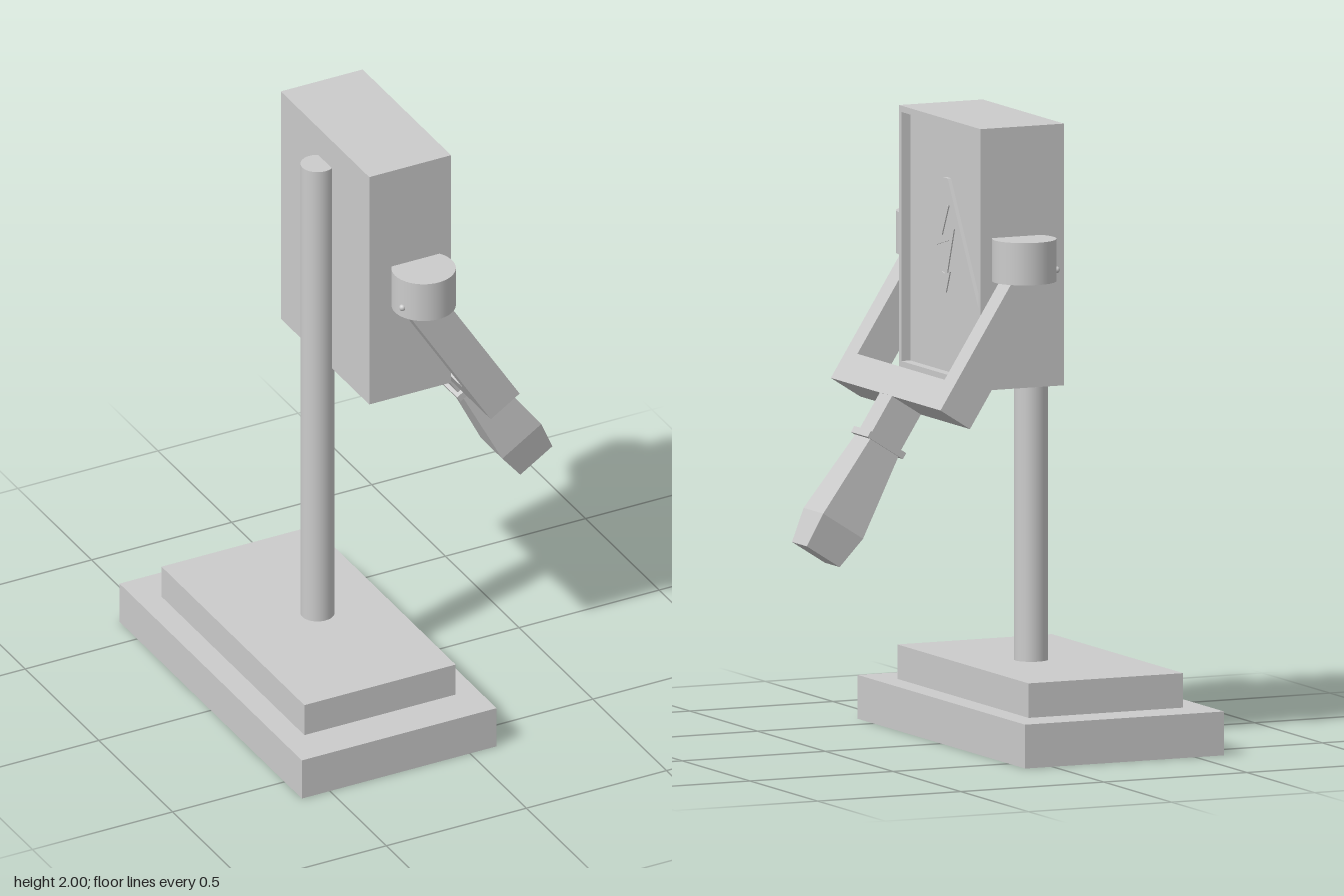
import * as THREE from 'three';

const material = new THREE.MeshStandardMaterial({ color: 0xcccccc, flatShading: true });
const smooth = new THREE.MeshStandardMaterial({ color: 0xcccccc });

function add(parent, name, geometry, x = 0, y = 0, z = 0, mat = material) {
  const mesh = new THREE.Mesh(geometry, mat);
  mesh.name = name;
  mesh.position.set(x, y, z);
  parent.add(mesh);
  return mesh;
}

// Box given by its min and max along each axis
function block(parent, name, [x0, x1], [y0, y1], [z0, z1]) {
  return add(parent, name, new THREE.BoxGeometry(x1 - x0, y1 - y0, z1 - z0),
    (x0 + x1) / 2, (y0 + y1) / 2, (z0 + z1) / 2);
}

const shapeOf = (points) => new THREE.Shape(points.map(([u, v]) => new THREE.Vector2(u, v)));
const rect = (w, y0, y1) => [[-w, y0], [w, y0], [w, y1], [-w, y1]];

// Flat plate facing +x: outline in (-z, y), raised from x by depth
function plate(parent, name, shape, x, depth) {
  const geometry = new THREE.ExtrudeGeometry(shape, { depth, bevelEnabled: false });
  return add(parent, name, geometry.rotateY(Math.PI / 2), x);
}

// Solid lofted through rectangular sections [distance, width, depth] running down -y
function loft(sections) {
  const rings = sections.map(([s, w, d]) =>
    [[-1, 1], [1, 1], [1, -1], [-1, -1]].map(([a, b]) => [a * w / 2, -s, b * d / 2]));
  const positions = [];
  const quad = (a, b, c, d) => [a, b, c, a, c, d].forEach((p) => positions.push(...p));
  for (let i = 0; i < rings.length - 1; i++) {
    for (let k = 0; k < 4; k++) {
      const n = (k + 1) % 4;
      quad(rings[i][k], rings[i + 1][k], rings[i + 1][n], rings[i][n]);
    }
  }
  quad(...rings[0]);
  quad(...rings[rings.length - 1].slice().reverse());
  const geometry = new THREE.BufferGeometry();
  geometry.setAttribute('position', new THREE.Float32BufferAttribute(positions, 3));
  geometry.computeVertexNormals();
  return geometry;
}

export function createModel() {
  const model = new THREE.Group();
  model.name = 'leverSwitch';

  // Stepped base and post
  block(model, 'baseSlab', [-0.6, 0.095], [0, 0.14], [-0.62, 0.617]);
  block(model, 'baseStep', [-0.52, 0.02], [0.14, 0.25], [-0.487, 0.482]);
  add(model, 'post', new THREE.CylinderGeometry(0.054, 0.054, 1.66, 32), -0.217, 1.07, -0.005, smooth);

  const upper = new THREE.Group();
  upper.name = 'switchAssembly';
  upper.position.z = -0.005;
  model.add(upper);

  // Cabinet with a rim around its recessed panel
  block(upper, 'cabinet', [-0.19, 0.07], [1.165, 2], [-0.3, 0.3]);
  const rim = shapeOf(rect(0.3, 1.165, 2));
  rim.holes.push(shapeOf(rect(0.285, 1.185, 1.98)));
  plate(upper, 'cabinetRim', rim, 0.07, 0.032);

  // Raised hazard sign with a bolt
  const sign = [[-0.245, 1.415], [0.245, 1.415], [0.015, 1.805], [-0.015, 1.805]];
  plate(upper, 'warningTriangle', shapeOf(sign), 0.07, 0.012);
  const bolt = [[0.01, 1.72], [-0.06, 1.585], [0.035, 1.61], [0, 1.5], [-0.02, 1.505],
    [0.01, 1.44], [0.04, 1.51], [0.02, 1.505], [0.07, 1.65], [-0.02, 1.62], [0.03, 1.72]];
  plate(upper, 'warningBolt', shapeOf(bolt), 0.082, 0.004);

  // Pivot drums with small pins
  for (const side of [1, -1]) {
    add(upper, 'pivotDrum', new THREE.CylinderGeometry(0.102, 0.102, 0.135, 48),
      -0.025, 1.5825, side * 0.355, smooth);
    add(upper, 'pivotPin', new THREE.SphereGeometry(0.011, 12, 8),
      -0.12, 1.55, side * 0.392, smooth);
  }

  // Tilted fork lever, built hanging down -y
  const lever = new THREE.Group();
  lever.name = 'lever';
  lever.position.set(-0.05, 1.55, 0);
  lever.rotation.z = 0.567;
  upper.add(lever);
  const width = [-0.061, 0.061];
  block(lever, 'leftArm', width, [-0.44, 0], [0.322, 0.405]);
  block(lever, 'rightArm', width, [-0.44, 0], [-0.405, -0.322]);
  block(lever, 'crossbar', width, [-0.54, -0.44], [-0.405, 0.405]);
  block(lever, 'stem', [-0.06, 0.06], [-0.68, -0.54], [-0.045, 0.045]);
  block(lever, 'collar', [-0.073, 0.073], [-0.693, -0.671], [-0.062, 0.062]);
  add(lever, 'grip', loft([[0.69, 0.116, 0.11], [0.976, 0.165, 0.145], [1.09, 0.136, 0.11]]));

  return model;
}
